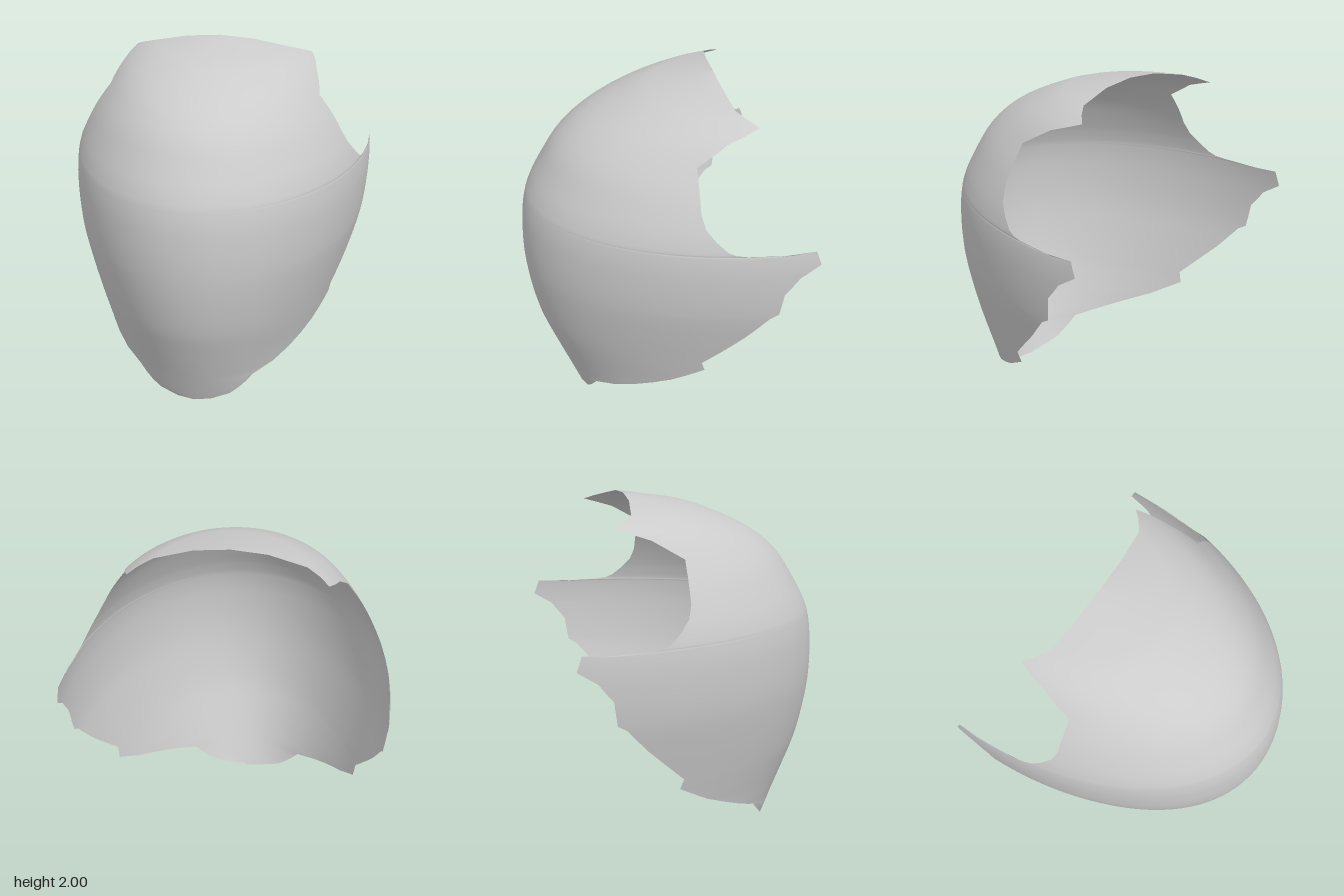
import * as THREE from 'three';

// Front centre line: [y, z]
const profile = [[0, 0.47], [0.38, 0.63], [0.57, 0.7], [0.85, 0.755], [1.1, 0.765], [1.32, 0.735],
  [1.52, 0.635], [1.66, 0.54], [1.775, 0.4], [1.875, 0.2], [1.95, -0.02], [2, -0.34]];

// Half width of the elliptical section: [y, x]
const halfWidth = [[0, 0.7], [0.23, 0.7], [0.47, 0.755], [0.73, 0.825], [0.92, 0.87], [1.15, 0.892],
  [1.32, 0.885], [1.44, 0.85], [1.59, 0.78], [1.73, 0.69], [1.83, 0.615], [1.89, 0.54], [1.94, 0.44],
  [1.985, 0.28], [2, 0.2]];

// Rear cut of the shell, from the brow down past the side hooks to the chin: [y, z]
const edge = [[2, -0.34], [1.985, -0.345], [1.94, -0.375], [1.89, -0.48], [1.83, -0.3], [1.73, -0.13],
  [1.52, -0.13], [1.45, -0.15], [1.39, -0.2], [1.34, -0.255], [1.32, -0.3], [1.312, -0.37], [1.306, -0.6],
  [1.3, -0.73], [1.212, -0.76], [1.155, -0.65], [1.06, -0.57], [0.92, -0.55], [0.89, -0.5], [0.75, -0.38],
  [0.53, -0.16], [0.47, -0.18], [0.36, 0], [0.17, 0.4], [0.05, 0.441], [0.015, 0.465], [0, 0.47]];

const CENTRE_Z = -0.6; // centre of the section ellipses
const COLUMNS = 48;

// Smooth cubic interpolation through a table of [y, value]
function smooth(table, y) {
  const slope = (i) => {
    const a = table[Math.max(i - 1, 0)], b = table[Math.min(i + 1, table.length - 1)];
    return (b[1] - a[1]) / (b[0] - a[0]);
  };
  let i = 0;
  while (i < table.length - 2 && y > table[i + 1][0]) i++;
  const [y0, v0] = table[i], [y1, v1] = table[i + 1];
  const h = y1 - y0, s = (y - y0) / h, s2 = s * s, s3 = s2 * s;
  return v0 * (2 * s3 - 3 * s2 + 1) + h * slope(i) * (s3 - 2 * s2 + s)
    + v1 * (3 * s2 - 2 * s3) + h * slope(i + 1) * (s3 - s2);
}

// Rows follow every corner of the cut, with long gaps subdivided
function makeRows() {
  const rows = [edge[0]];
  for (let i = 1; i < edge.length; i++) {
    const [y0, z0] = edge[i - 1], [y1, z1] = edge[i];
    const n = Math.max(1, Math.ceil((y0 - y1) / 0.05));
    for (let k = 1; k <= n; k++) rows.push([y0 + (y1 - y0) * k / n, z0 + (z1 - z0) * k / n]);
  }
  return rows;
}

function shellGeometry() {
  const positions = [], indices = [];
  const rows = makeRows();
  rows.forEach(([y, zCut], r) => {
    const depth = smooth(profile, y) - CENTRE_Z;
    const width = smooth(halfWidth, y);
    const end = Math.acos(THREE.MathUtils.clamp((zCut - CENTRE_Z) / depth, -1, 1));
    for (let c = 0; c <= COLUMNS; c++) {
      const t = end * (2 * c / COLUMNS - 1);
      const z = CENTRE_Z + depth * Math.cos(t);
      const lift = 0.13 * Math.max(0, CENTRE_Z - z); // hook tips turn up slightly
      positions.push(width * Math.sin(t), y + lift, z);
      if (r < rows.length - 1 && c < COLUMNS) {
        const a = r * (COLUMNS + 1) + c, b = a + COLUMNS + 1;
        indices.push(a, b, b + 1, a, b + 1, a + 1);
      }
    }
  });
  const geometry = new THREE.BufferGeometry();
  geometry.setAttribute('position', new THREE.Float32BufferAttribute(positions, 3));
  geometry.setIndex(indices);
  geometry.computeVertexNormals();
  return geometry;
}

export function createModel() {
  const group = new THREE.Group();
  group.name = 'faceShield';
  const material = new THREE.MeshStandardMaterial({ color: 0xcccccc, side: THREE.DoubleSide });
  const shell = new THREE.Mesh(shellGeometry(), material);
  shell.name = 'curvedShell';
  group.add(shell);
  return group;
}
